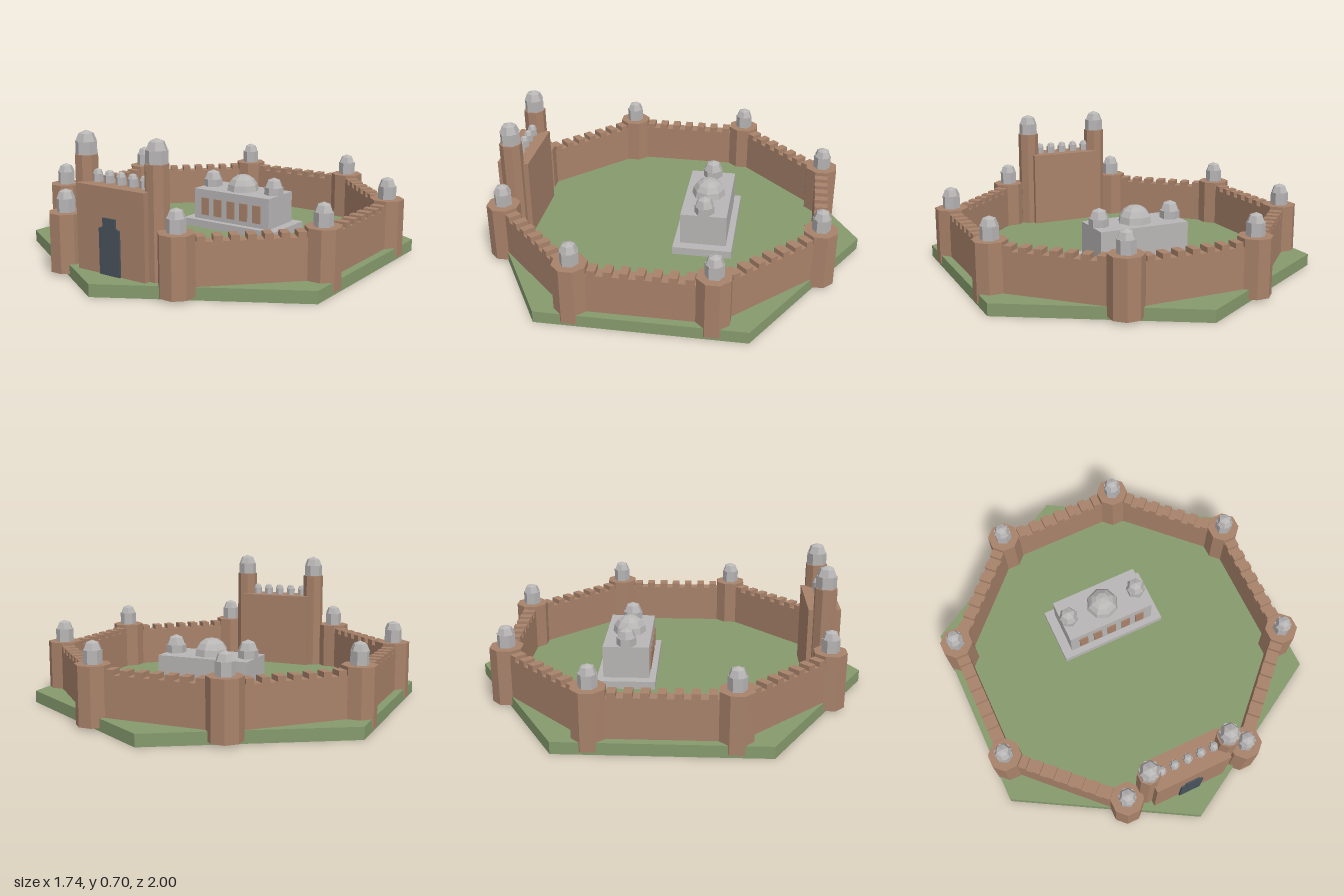
import * as THREE from 'three';

const mat = (name, color) => {
  const m = new THREE.MeshStandardMaterial({ color, flatShading: true });
  m.name = name;
  return m;
};

export function createModel() {
  const grass = mat('grass green', 0x869b6d);
  const brick = mat('sandstone brown', 0xa8826a);
  const marble = mat('marble grey', 0xb8b5b5);
  const slate = mat('door slate', 0x48525c);
  const root = new THREE.Group();
  root.name = 'fort';

  const add = (parent, name, geo, material, x, y, z) => {
    const m = new THREE.Mesh(geo, material);
    m.name = name;
    m.position.set(x, y, z);
    parent.add(m);
    return m;
  };
  // box given by its bottom and top heights
  const block = (parent, name, material, x, z, w, d, y0, y1) =>
    add(parent, name, new THREE.BoxGeometry(w, y1 - y0, d), material, x, (y0 + y1) / 2, z);
  const dome = (parent, name, x, y, z, r, sides, rings) =>
    add(parent, name, new THREE.SphereGeometry(r, sides, rings, 0, Math.PI * 2, 0, Math.PI / 2), marble, x, y, z);
  // six-sided drum with a dome on top
  const pavilion = (parent, x, y, z, r, h) => {
    add(parent, 'pavilionDrum', new THREE.CylinderGeometry(r, r, h, 6), marble, x, y + h / 2, z);
    dome(parent, 'pavilionDome', x, y + h, z, r, 6, 2);
  };
  const tower = (parent, name, x, z, r, y0, y1) => {
    const geo = new THREE.CylinderGeometry(r, r, y1 - y0, 8).rotateY(Math.PI / 8);
    add(parent, name, geo, brick, x, (y0 + y1) / 2, z);
  };

  // hexagonal ground
  add(root, 'ground', new THREE.CylinderGeometry(1, 1, 0.06, 6), grass, 0, 0.03, 0);

  // eight corner towers, in order around the ring
  const a = 0.33, b = 0.793;
  const corners = [[a, b], [b, a], [b, -a], [a, -b], [-a, -b], [-b, -a], [-b, a], [-a, b]];
  for (const [x, z] of corners) {
    tower(root, 'cornerTower', x, z, 0.085, 0.015, 0.3);
    pavilion(root, x, 0.3, z, 0.045, 0.065);
  }

  // seven walls with merlons; the gate fills the eighth side
  for (let i = 0; i < 7; i++) {
    const [x0, z0] = corners[i], [x1, z1] = corners[i + 1];
    const len = Math.hypot(x1 - x0, z1 - z0);
    const wall = new THREE.Group();
    wall.name = 'wall';
    wall.position.set((x0 + x1) / 2, 0, (z0 + z1) / 2);
    wall.rotation.y = -Math.atan2(z1 - z0, x1 - x0);
    block(wall, 'curtainWall', brick, 0, 0, len, 0.065, 0.03, 0.26);
    for (let k = -3; k <= 3; k++) block(wall, 'merlon', brick, k * 0.075, 0, 0.04, 0.065, 0.26, 0.285);
    root.add(wall);
  }

  // gatehouse
  const gate = new THREE.Group();
  gate.name = 'gatehouse';
  root.add(gate);
  block(gate, 'gateBlock', brick, 0, 0.772, 0.4, 0.16, 0.03, 0.465);
  for (const s of [-1, 1]) {
    tower(gate, 'gateTower', s * 0.209, 0.77, 0.057, 0.03, 0.585);
    pavilion(gate, s * 0.209, 0.585, 0.77, 0.051, 0.06);
  }
  for (let k = -2; k <= 2; k++) pavilion(gate, k * 0.07, 0.465, 0.77, 0.024, 0.036);

  // stepped door
  const half = [[0.06, 0.06], [0.06, 0.275], [0.037, 0.285], [0.037, 0.325]];
  const outline = [...half, ...half.map(([x, y]) => [-x, y]).reverse()];
  const doorShape = new THREE.Shape(outline.map(([x, y]) => new THREE.Vector2(x, y)));
  add(gate, 'door', new THREE.ExtrudeGeometry(doorShape, { depth: 0.009, bevelEnabled: false }), slate, 0, 0, 0.852);

  // inner palace
  const palace = new THREE.Group();
  palace.name = 'palace';
  palace.position.z = -0.213;
  root.add(palace);
  block(palace, 'plinth', marble, 0, 0, 0.58, 0.3, 0.05, 0.1);
  block(palace, 'hall', marble, 0, 0, 0.48, 0.234, 0.1, 0.265);
  dome(palace, 'mainDome', 0, 0.265, 0, 0.087, 8, 4);
  for (const s of [-1, 1]) pavilion(palace, s * 0.198, 0.265, 0, 0.051, 0.04);
  for (let k = -2; k <= 2; k++) block(palace, 'window', brick, k * 0.083, 0.119, 0.048, 0.009, 0.125, 0.22);

  return root;
}
